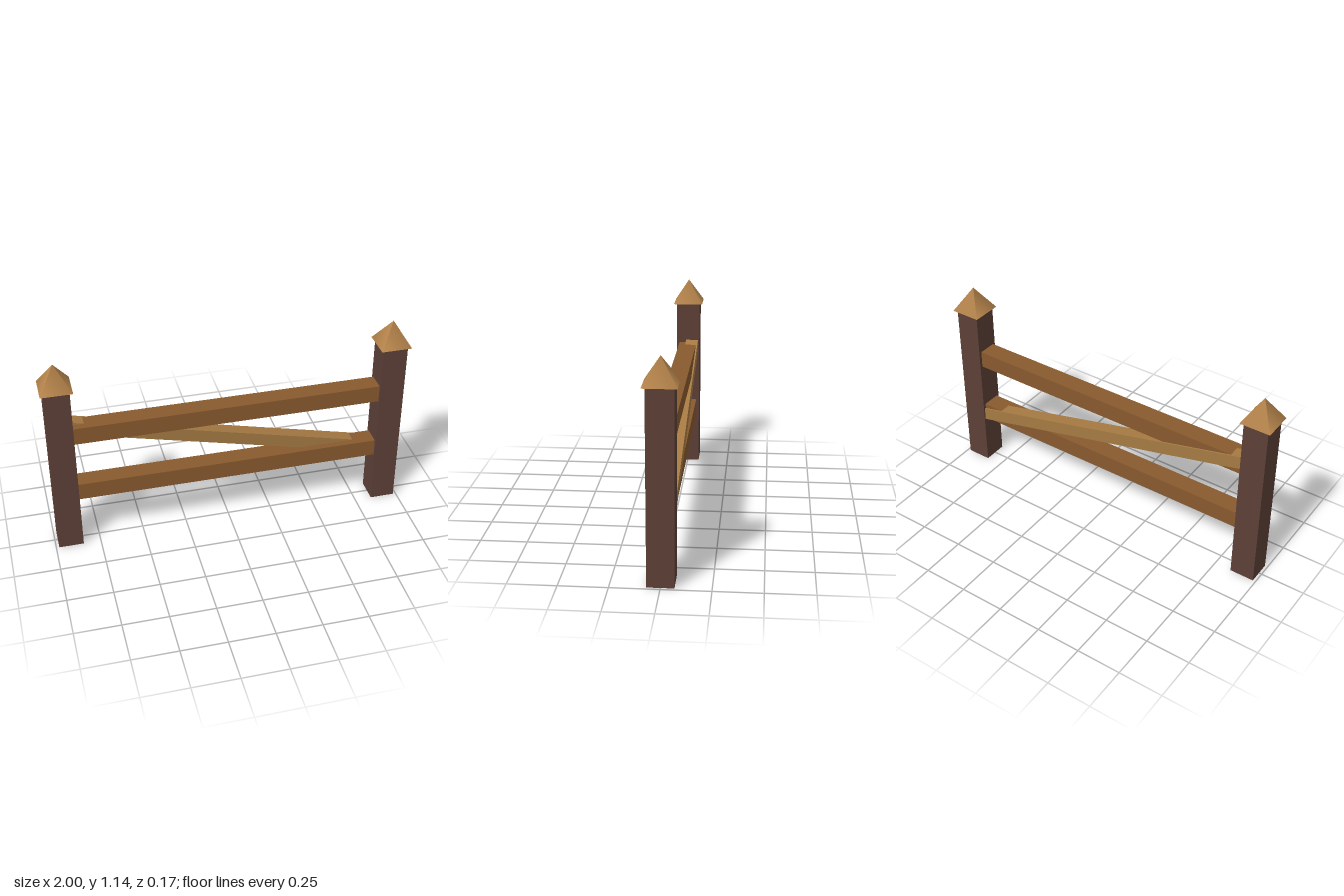
import * as THREE from 'three';

const material = (name, color) => {
  const m = new THREE.MeshStandardMaterial({ color });
  m.name = name;
  return m;
};

export function createModel() {
  const fence = new THREE.Group();
  fence.name = 'fence';
  const darkWood = material('dark brown wood', 0x5d4037);
  const railWood = material('brown wood', 0x885a2f);
  const braceWood = material('light brown wood', 0xa67a43);
  const capWood = material('golden brown wood', 0xb3824a);

  const add = (name, geometry, mat, x, y, z) => {
    const mesh = new THREE.Mesh(geometry, mat);
    mesh.name = name;
    mesh.position.set(x, y, z);
    fence.add(mesh);
    return mesh;
  };

  // Posts with four-sided pointed caps
  const postGeometry = new THREE.BoxGeometry(0.137, 1.003, 0.137);
  const capGeometry = new THREE.ConeGeometry(0.085 * Math.SQRT2, 0.137, 4);
  capGeometry.rotateY(Math.PI / 4);
  for (const [side, x] of [['left', 0.915], ['right', -0.915]]) {
    add(side + 'Post', postGeometry, darkWood, x, 0.5015, 0);
    add(side + 'PostCap', capGeometry, capWood, x, 1.0715, 0);
  }

  // Horizontal rails, let into the posts
  const railGeometry = new THREE.BoxGeometry(1.8, 0.098, 0.104);
  add('upperRail', railGeometry, railWood, 0, 0.715, 0);
  add('lowerRail', railGeometry, railWood, 0, 0.35, 0);

  // Diagonal brace, slightly proud of the rails at the back
  const brace = add('diagonalBrace', new THREE.BoxGeometry(1.8, 0.073, 0.073), braceWood, 0, 0.537, -0.024);
  brace.rotation.z = -Math.atan(0.242);

  return fence;
}
